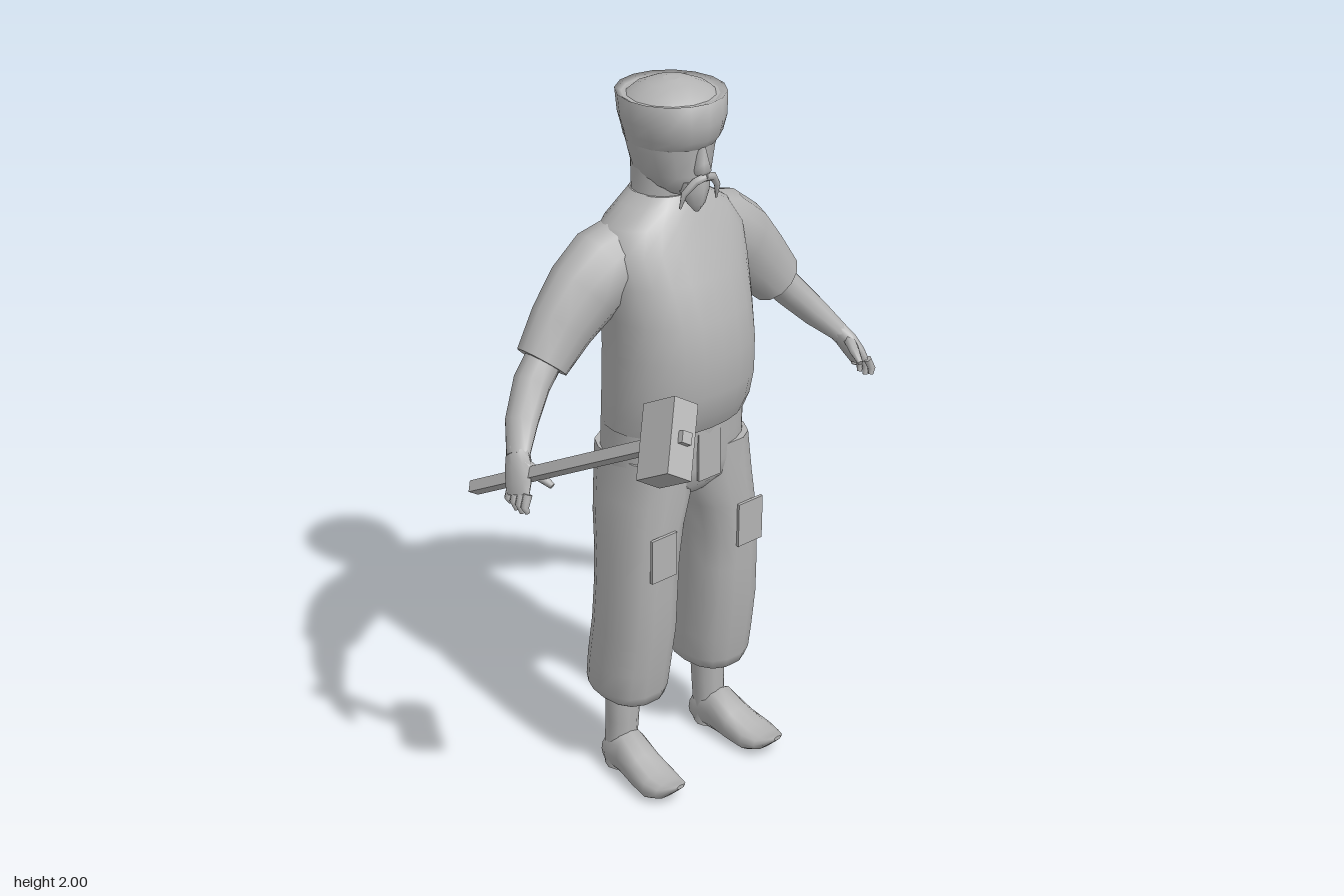
import * as THREE from 'three';

const V = (x, y, z) => new THREE.Vector3(x, y, z);
const X = V(1, 0, 0), Y = V(0, 1, 0), Z = V(0, 0, 1);

const grey = new THREE.MeshStandardMaterial({ color: 0xb4b4b4, side: THREE.DoubleSide });
grey.name = 'clay grey';

// Skin closed rounded rings [x, y, z, halfA, halfB] along a path; power < 1 squares them off
function loft(rings, { axis = null, ref = Z, sides = 14, power = 1, floor = -1 } = {}) {
  const pos = [], idx = [], n = rings.length;
  const centre = rings.map(r => V(r[0], r[1], r[2]));
  const round = c => Math.sign(c) * Math.abs(c) ** power;
  rings.forEach((r, i) => {
    const t = axis || centre[Math.min(i + 1, n - 1)].clone().sub(centre[Math.max(i - 1, 0)]).normalize();
    const u = ref.clone().cross(t).normalize(), v = t.clone().cross(u);
    for (let j = 0; j < sides; j++) {
      const a = j / sides * Math.PI * 2;
      const p = centre[i].clone().addScaledVector(u, round(Math.cos(a)) * r[3])
        .addScaledVector(v, round(Math.sin(a)) * r[4]);
      pos.push(p.x, Math.max(p.y, floor), p.z);
    }
  });
  for (let i = 0; i < n - 1; i++) for (let j = 0; j < sides; j++) {
    const a = i * sides + j, b = i * sides + (j + 1) % sides;
    idx.push(a, b, b + sides, a, b + sides, a + sides);
  }
  // End caps with their own vertices so the rims stay crisp
  for (const [i, flip] of [[0, true], [n - 1, false]]) {
    const base = pos.length / 3;
    pos.push(...pos.slice(i * sides * 3, (i + 1) * sides * 3), ...centre[i].toArray());
    for (let j = 0; j < sides; j++) {
      const a = base + j, b = base + (j + 1) % sides, c = base + sides;
      idx.push(...(flip ? [b, a, c] : [a, b, c]));
    }
  }
  const g = new THREE.BufferGeometry();
  g.setAttribute('position', new THREE.Float32BufferAttribute(pos, 3));
  g.setIndex(idx);
  g.computeVertexNormals();
  return g;
}

// Upright form from levels [y, centreX, halfWidth, frontZ, backZ]
const upright = (levels, opts = {}) => loft(
  levels.map(([y, x, w, f, b]) => [x, y, (f + b) / 2, w, (f - b) / 2]), { axis: Y, ...opts });

function add(parent, name, geometry) {
  const m = new THREE.Mesh(geometry, grey);
  m.name = name;
  parent.add(m);
  return m;
}

function plate(parent, name, [w, h, d], [x, y, z], tilt = 0) {
  const m = add(parent, name, new THREE.BoxGeometry(w, h, d));
  m.position.set(x, y, z);
  m.rotation.x = tilt;
}

function buildHead() {
  const head = new THREE.Group();
  head.name = 'head';
  add(head, 'neck', upright([[1.62, 0, .1, -.19, -.355], [1.7, 0, .085, -.175, -.345], [1.78, 0, .085, -.17, -.345]]));
  add(head, 'face', upright([
    [1.715, 0, .04, -.135, -.26], [1.735, 0, .068, -.12, -.335], [1.77, 0, .09, -.112, -.347],
    [1.83, 0, .108, -.11, -.355], [1.88, 0, .12, -.1, -.362], [1.93, 0, .125, -.1, -.365]]));
  // Cap with an upright band around a low crown
  add(head, 'capBand', upright([
    [1.845, 0, .112, -.105, -.358], [1.87, 0, .12, -.085, -.362], [1.91, 0, .133, -.077, -.368],
    [1.97, 0, .138, -.078, -.372], [1.962, 0, .122, -.1, -.352]], { sides: 16 }));
  add(head, 'capCrown', upright([
    [1.95, 0, .125, -.095, -.355], [1.975, 0, .1, -.125, -.325], [1.992, 0, .06, -.165, -.285], [2, 0, .02, -.205, -.245]]));
  add(head, 'nose', upright([
    [1.775, 0, .018, -.095, -.14], [1.79, 0, .024, -.083, -.14], [1.81, 0, .018, -.088, -.14], [1.86, 0, .01, -.103, -.14]], { sides: 6 }));
  add(head, 'beard', upright([
    [1.672, 0, .006, -.125, -.14], [1.695, 0, .025, -.11, -.16], [1.73, 0, .042, -.102, -.19], [1.757, 0, .045, -.105, -.18]], { sides: 8 }));
  for (const s of [1, -1]) {
    add(head, 'moustache', loft([
      [0, 1.772, -.098, .012, .01], [s * .03, 1.765, -.102, .012, .01], [s * .055, 1.735, -.115, .009, .008],
      [s * .06, 1.695, -.125, .003, .003]], { sides: 6 }));
  }
  return head;
}

// One arm on the +x side
function buildArm(name) {
  const arm = new THREE.Group();
  arm.name = name;
  add(arm, 'sleeve', loft([
    [.1, 1.575, -.265, .085, .095], [.19, 1.535, -.268, .108, .1], [.26, 1.48, -.272, .108, .088],
    [.33, 1.408, -.275, .094, .076], [.4, 1.328, -.27, .076, .066]], { sides: 12 }));
  add(arm, 'forearm', loft([
    [.37, 1.36, -.272, .05, .05], [.44, 1.285, -.262, .047, .052], [.505, 1.21, -.225, .04, .046],
    [.555, 1.15, -.178, .027, .033]], { sides: 10 }));
  add(arm, 'palm', loft([
    [.545, 1.165, -.19, .028, .03], [.566, 1.13, -.163, .024, .044], [.582, 1.095, -.145, .02, .046],
    [.592, 1.07, -.135, .016, .042]], { sides: 8 }));
  for (let i = 0; i < 4; i++) {
    const z = -.099 - i * .022, drop = [.008, 0, .002, .014][i];
    add(arm, 'finger', loft([
      [.588, 1.085, z, .012, .012], [.602, 1.055, z + .003, .012, .011],
      [.596, 1.03 + drop, z + .006, .007, .007]], { sides: 6 }));
  }
  add(arm, 'thumb', loft([
    [.56, 1.14, -.145, .018, .018], [.544, 1.12, -.105, .015, .015], [.533, 1.1, -.07, .008, .008]], { sides: 6, ref: Y }));
  return arm;
}

// One leg on the +x side
function buildLeg(name) {
  const leg = new THREE.Group();
  leg.name = name;
  add(leg, 'trouserLeg', upright([
    [1, .1, .1, -.095, -.385], [.88, .109, .107, -.097, -.377], [.8, .126, .1, -.1, -.366],
    [.7, .138, .094, -.103, -.352], [.6, .143, .098, -.11, -.346], [.48, .145, .1, -.118, -.355],
    [.36, .148, .1, -.138, -.374], [.285, .149, .097, -.15, -.384], [.255, .147, .085, -.16, -.376],
    [.232, .15, .058, -.205, -.345]], { power: .82 }).scale(1, 1, 1));
  add(leg, 'shin', upright([
    [.01, .165, .047, -.235, -.325], [.08, .163, .044, -.235, -.33], [.16, .158, .046, -.232, -.328],
    [.27, .155, .048, -.23, -.33]], { sides: 10 }));
  // Shoe with an upturned toe and flat sole
  add(leg, 'shoe', loft([
    [.162, .04, -.332, .032, .035], [.164, .05, -.3, .047, .055], [.168, .065, -.235, .052, .068],
    [.174, .044, -.165, .056, .05], [.18, .034, -.1, .06, .038], [.181, .04, -.055, .05, .024],
    [.18, .058, -.025, .032, .013], [.18, .068, -.008, .012, .006]], { axis: Z, ref: Y, sides: 12, power: .85, floor: 0 }));
  return leg;
}

function buildHammer() {
  const hammer = new THREE.Group();
  hammer.name = 'hammer';
  const butt = V(-.59, 1.015, -.325), tip = V(-.475, 1.387, .378);
  const along = tip.clone().sub(butt), length = along.length();
  along.normalize();
  const across = V(.53, .74, -.4);
  across.addScaledVector(along, -across.dot(along)).normalize();
  const side = across.clone().cross(along);
  hammer.quaternion.setFromRotationMatrix(new THREE.Matrix4().makeBasis(across, along, side));
  hammer.position.copy(butt);
  plate(hammer, 'hammerHandle', [.03, length, .03], [0, length / 2, 0]);
  plate(hammer, 'hammerHead', [.19, .11, .075], [0, length - .07, 0]);
  return hammer;
}

export function createModel() {
  const model = new THREE.Group();
  model.name = 'workman';
  model.add(buildHead(), buildHammer());

  // Loose shirt over a round belly
  add(model, 'shirt', upright([
    [1.08, 0, .203, -.078, -.388], [1.13, 0, .206, -.05, -.39], [1.2, 0, .207, -.031, -.39],
    [1.3, 0, .205, -.026, -.387], [1.4, 0, .205, -.04, -.386], [1.5, 0, .215, -.075, -.385],
    [1.58, 0, .222, -.112, -.378], [1.64, 0, .185, -.137, -.365], [1.68, 0, .125, -.158, -.352],
    [1.705, 0, .088, -.172, -.343]], { sides: 24, power: .92 }));
  add(model, 'trouserSeat', upright([
    [.87, 0, .1, -.14, -.34], [.91, 0, .195, -.105, -.375], [.96, 0, .204, -.094, -.385],
    [1.03, 0, .2, -.089, -.388], [1.12, 0, .198, -.08, -.385]], { sides: 24, power: .85 }));
  plate(model, 'trouserFly', [.075, .15, .008], [0, 1.005, -.09]);

  const left = new THREE.Group(), right = new THREE.Group();
  left.name = 'leftLimbs';
  right.name = 'rightLimbs';
  left.add(buildArm('leftArm'), buildLeg('leftLeg'));
  right.add(buildArm('rightArm'), buildLeg('rightLeg'));
  right.scale.x = -1;
  model.add(left, right);

  // Thigh patches
  plate(model, 'rightPocket', [.085, .13, .009], [-.15, .737, -.101], .03);
  plate(model, 'leftPocket', [.085, .13, .009], [.155, .737, -.101], .03);
  return model;
}
